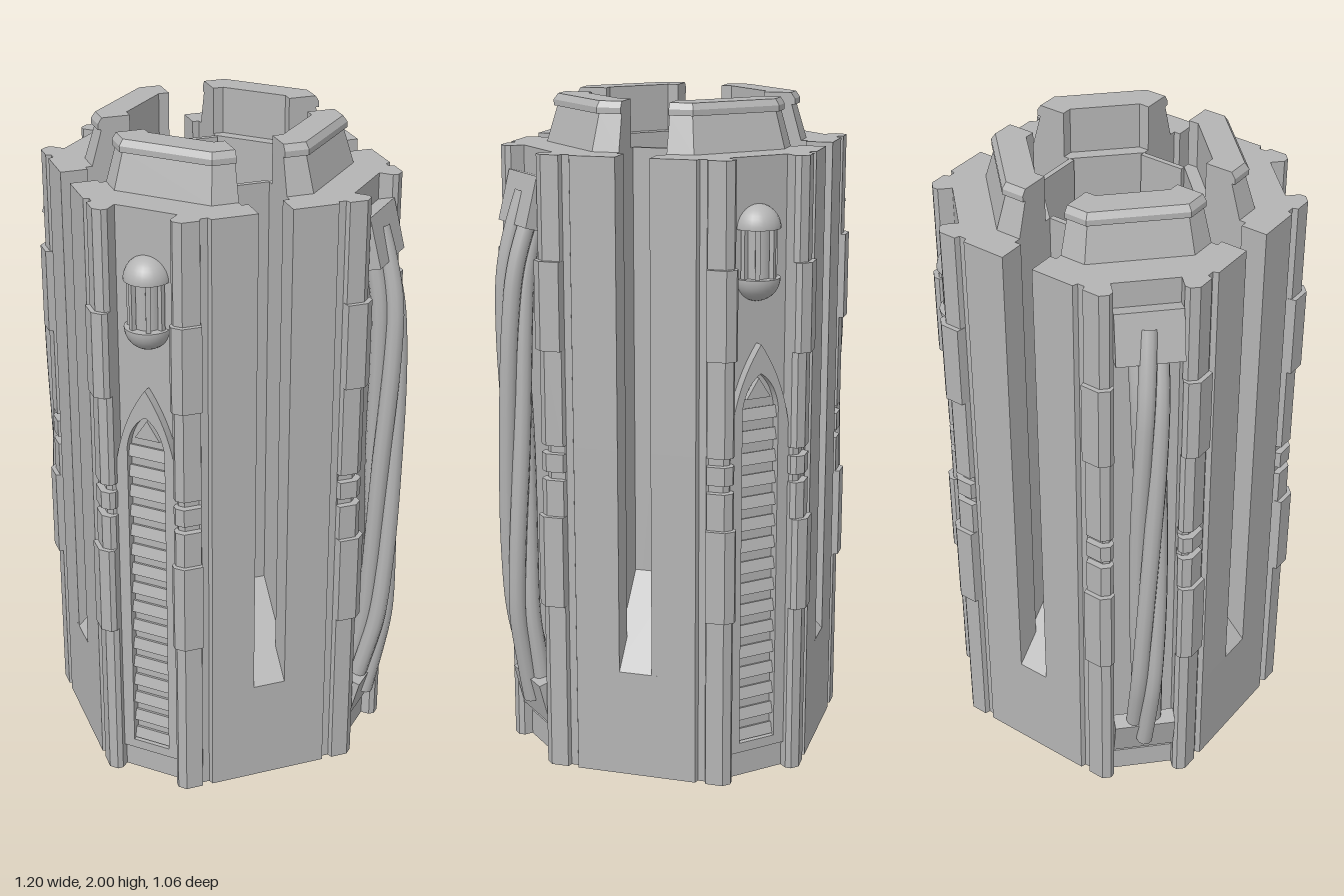
import * as THREE from 'three';

const steel = new THREE.MeshStandardMaterial({ color: 0xb4b4b4 });
steel.name = 'steel grey';

const BODY_TOP = 1.86, SLOT_BASE = 0.33, WELL = 0.209, WELL_DIAG = 0.226;

// point at distance d along the x/z diagonal, moved w towards the front
const diag = (d, w) => [(d - w) * Math.SQRT1_2, (d + w) * Math.SQRT1_2];
const mirrored = (half) => [...half.map(([x, z]) => [-x, z]).reverse(), ...half];

// prism between two x/z outlines with the same number of points
function loft(lower, upper, y0, y1) {
  if (THREE.ShapeUtils.area(lower.map(([x, y]) => ({ x, y }))) < 0) {
    lower = [...lower].reverse();
    upper = [...upper].reverse();
  }
  const pos = [];
  const lo = (i) => [lower[i][0], y0, lower[i][1]];
  const hi = (i) => [upper[i][0], y1, upper[i][1]];
  lower.forEach((_, i) => {
    const j = (i + 1) % lower.length;
    pos.push(...lo(i), ...hi(i), ...hi(j), ...lo(i), ...hi(j), ...lo(j));
  });
  const flat = lower.map(([x, z]) => new THREE.Vector2(x, z));
  for (const tri of THREE.ShapeUtils.triangulateShape(flat, [])) {
    const ccw = THREE.ShapeUtils.area(tri.map((i) => flat[i])) > 0;
    const [a, b, c] = ccw ? tri : [...tri].reverse();
    pos.push(...lo(a), ...lo(b), ...lo(c), ...hi(c), ...hi(b), ...hi(a));
  }
  const g = new THREE.BufferGeometry();
  g.setAttribute('position', new THREE.Float32BufferAttribute(pos, 3));
  g.computeVertexNormals();
  return g;
}

function add(parent, name, geometry, x = 0, y = 0, z = 0) {
  const m = new THREE.Mesh(geometry, steel);
  m.name = name;
  m.position.set(x, y, z);
  parent.add(m);
  return m;
}

// right half of one side's outer outline; push swells or notches the pillar
const pillar = (push) => [
  [0.095, 0.46], [0.095, 0.502 + push], [0.107, 0.515 + push],
  [0.135 + push * 0.4, 0.515 + push], [0.172 + push * 0.7, 0.478 + push * 0.7],
  [0.165, 0.463], [0.18, 0.448], [0.195, 0.455],
];

// one wall section between two slots
const wallOutline = (push) => mirrored([
  [0.11, WELL], diag(WELL_DIAG, 0.07), diag(0.38, 0.07), diag(0.38, 0.05), diag(0.46, 0.05),
  ...pillar(push).reverse(),
]);

const crownOutline = (r) => mirrored([
  [0.245 * 0.414, 0.245], diag(0.245, 0.07), diag(r, 0.07), [r * 0.414, r],
]);

function wallSide() {
  const side = new THREE.Group();
  side.name = 'wallSide';
  const bands = [
    [SLOT_BASE, 0.52, 0], [0.52, 0.80, 0.014], [0.80, 0.91, 0], [0.91, 0.935, -0.02],
    [0.935, 0.99, 0], [0.99, 1.015, -0.02], [1.015, 1.30, 0], [1.30, 1.56, 0.014],
    [1.56, BODY_TOP, 0],
  ];
  for (const [y0, y1, push] of bands) {
    const o = wallOutline(push);
    add(side, 'wallBand', loft(o, o, y0, y1));
  }
  add(side, 'sill', new THREE.BoxGeometry(0.2, 0.08, 0.03), 0, 0.04, 0.46);
  // crown block with a chamfered cap
  const crown = [[0.36, 0.33, BODY_TOP, 1.965], [0.34, 0.34, 1.965, 1.982], [0.34, 0.328, 1.982, 2]];
  for (const [r0, r1, y0, y1] of crown) {
    add(side, 'crownBlock', loft(crownOutline(r0), crownOutline(r1), y0, y1));
  }
  return side;
}

// diagonal slot: sloped floor and the thin wall behind it
function slot() {
  const g = new THREE.Group();
  g.name = 'slot';
  const wedge = new THREE.Shape();
  wedge.moveTo(WELL_DIAG, SLOT_BASE);
  wedge.lineTo(0.46, SLOT_BASE);
  wedge.lineTo(WELL_DIAG, 0.57);
  const ramp = new THREE.ExtrudeGeometry(wedge, { depth: 0.14, bevelEnabled: false });
  add(g, 'slotRamp', ramp, 0, 0, -0.07);
  add(g, 'slotBackWall', new THREE.BoxGeometry(0.016, BODY_TOP - SLOT_BASE, 0.142),
    WELL_DIAG - 0.008, (BODY_TOP + SLOT_BASE) / 2, 0);
  return g;
}

// pointed arch outline
function arch(shape, w, y0, spring, tip) {
  shape.moveTo(-w, y0);
  shape.lineTo(w, y0);
  shape.lineTo(w, spring);
  shape.quadraticCurveTo(w * 0.85, (spring + tip) / 2 + 0.02, 0, tip);
  shape.quadraticCurveTo(-w * 0.85, (spring + tip) / 2 + 0.02, -w, spring);
  return shape;
}

function louvredArch() {
  const g = new THREE.Group();
  g.name = 'louvredArch';
  const frame = arch(new THREE.Shape(), 0.1, 0.08, 1.05, 1.33);
  frame.holes.push(arch(new THREE.Path(), 0.06, 0.11, 1.14, 1.245));
  add(g, 'archFrame', new THREE.ExtrudeGeometry(frame, { depth: 0.03, bevelEnabled: false }), 0, 0, 0.457);
  for (let i = 0; i < 16; i++) {
    const slat = add(g, 'slat', new THREE.BoxGeometry(0.12, 0.036, 0.016), 0, 0.13 + i * 0.0662, 0.467);
    slat.rotation.x = -0.25;
  }
  const tip = new THREE.Shape();
  tip.moveTo(-0.04, 1.17);
  tip.lineTo(0.04, 1.17);
  tip.lineTo(0, 1.23);
  add(g, 'topSlat', new THREE.ExtrudeGeometry(tip, { depth: 0.02, bevelEnabled: false }), 0, 0, 0.457);
  return g;
}

// caged lamp with domed ends
function lamp() {
  const g = new THREE.Group();
  g.name = 'lamp';
  for (const s of [1, -1]) {
    const dome = add(g, 'lampDome', new THREE.SphereGeometry(0.068, 24, 10, 0, Math.PI * 2, 0, Math.PI / 2), 0, s * 0.07, 0);
    const base = add(g, 'lampDomeBase', new THREE.CircleGeometry(0.068, 24), 0, s * 0.07, 0);
    dome.rotation.x = s > 0 ? 0 : Math.PI;
    base.rotation.x = s * Math.PI / 2;
  }
  add(g, 'lampCore', new THREE.CylinderGeometry(0.042, 0.042, 0.15, 16));
  for (const a of [-1.3, -0.5, 0.5, 1.3]) {
    const bar = add(g, 'lampBar', new THREE.BoxGeometry(0.014, 0.15, 0.014),
      Math.sin(a) * 0.051, 0, Math.cos(a) * 0.051);
    bar.rotation.y = a;
  }
  g.position.set(0, 1.59, 0.457);
  return g;
}

// twisted cable held by two clamps, bulging along +z
function cable() {
  const g = new THREE.Group();
  g.name = 'cable';
  const spine = new THREE.CatmullRomCurve3([
    [0.485, 0.17], [0.51, 0.3], [0.538, 0.46], [0.546, 0.65], [0.546, 1.0],
    [0.546, 1.36], [0.536, 1.52], [0.508, 1.64], [0.475, 1.74],
  ].map(([z, y]) => new THREE.Vector3(0, y, z)));
  for (let k = 0; k < 4; k++) {
    const pts = [];
    for (let i = 0; i <= 24; i++) {
      const p = spine.getPointAt(i / 24);
      const a = k * Math.PI / 2 + 3.1 * i / 24;
      pts.push(new THREE.Vector3(p.x + 0.031 * Math.sin(a), p.y, p.z + 0.031 * Math.cos(a)));
    }
    add(g, 'strand', new THREE.TubeGeometry(new THREE.CatmullRomCurve3(pts), 60, 0.026, 10));
  }
  const top = add(g, 'topClamp', new THREE.BoxGeometry(0.19, 0.15, 0.05), 0, 1.715, 0.503);
  top.rotation.x = -0.25;
  const bottom = add(g, 'bottomClamp', new THREE.BoxGeometry(0.19, 0.135, 0.05), 0, 0.185, 0.493);
  bottom.rotation.x = 0.25;
  return g;
}

export function createModel() {
  const model = new THREE.Group();
  model.name = 'tower';

  // solid foot below the slots
  const foot = [];
  let ring = mirrored(pillar(0).slice());
  ring = [...pillar(0).map(([x, z]) => [-x, z]).reverse(), ...pillar(0)];
  for (let k = 0; k < 4; k++) {
    foot.push(...ring);
    ring = ring.map(([x, z]) => [z, -x]);
  }
  add(model, 'foot', loft(foot, foot, 0, SLOT_BASE));

  // floor of the central well
  const floor = new THREE.CylinderGeometry(0.226, 0.226, 0.04, 8).toNonIndexed();
  floor.computeVertexNormals();
  add(model, 'wellFloor', floor, 0, 1.0, 0).rotation.y = Math.PI / 8;

  for (let k = 0; k < 4; k++) {
    const side = wallSide();
    side.add(...(k % 2 ? [cable()] : [louvredArch(), lamp()]));
    side.rotation.y = k * Math.PI / 2;
    const cut = slot();
    cut.rotation.y = Math.PI / 4 + k * Math.PI / 2;
    model.add(side, cut);
  }
  return model;
}
